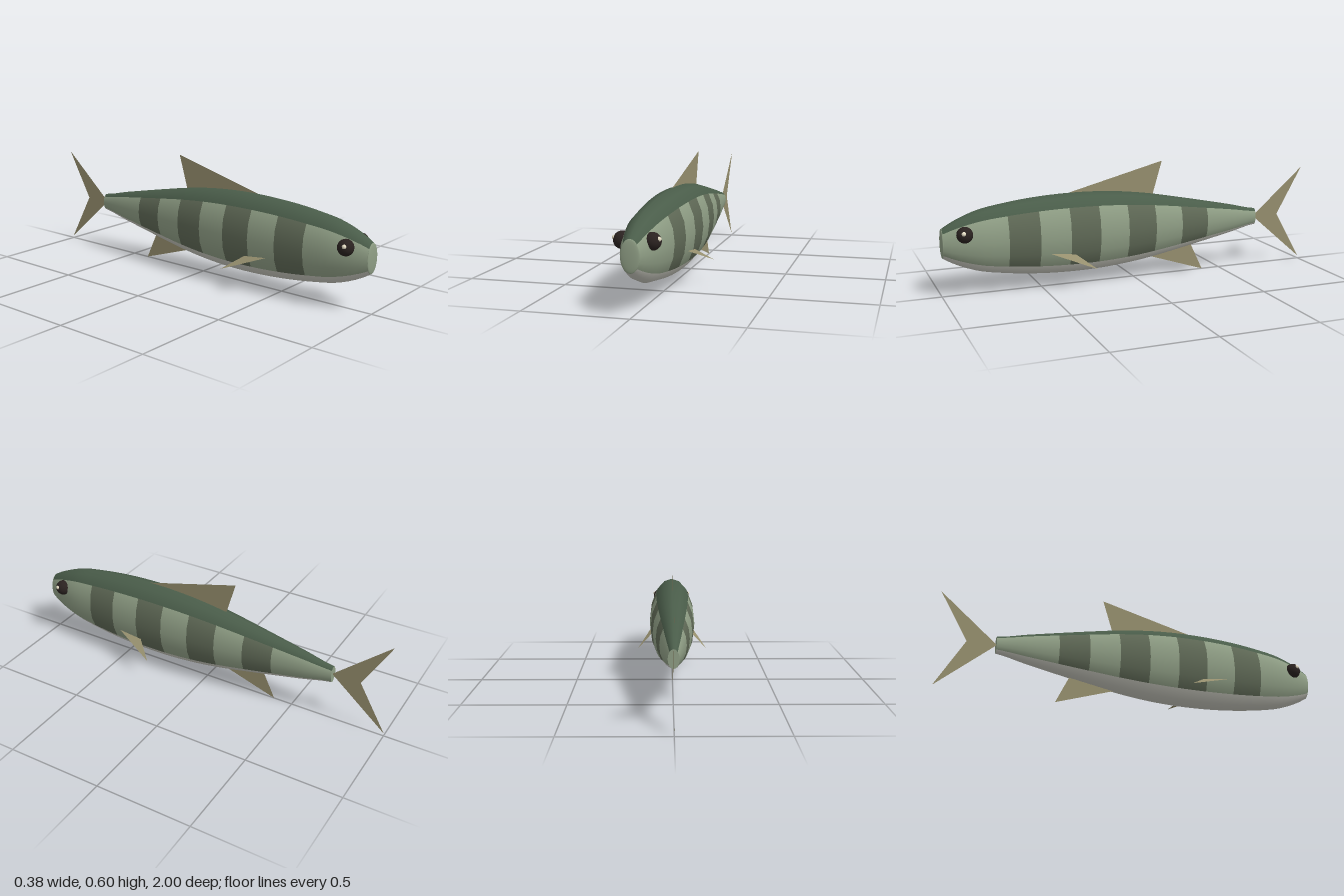
import * as THREE from 'three';

const NOSE = 0.99, TAIL = -0.71, MID = 0.269, ASPECT = 0.595;
const BANDS = 11, STEPS = 4; // lengthwise colour bands, rings per band
// Half height of the body at each band edge (the first value only steers the curve at the nose)
const profile = new THREE.SplineCurve(
  [-0.06, 0.074, 0.147, 0.178, 0.196, 0.204, 0.203, 0.192, 0.171, 0.142, 0.111, 0.079, 0.045]
    .map((r, i) => new THREE.Vector2(i, r)));
const radius = (band) => profile.getPoint(Math.min(1, (band + 1) / (BANDS + 1))).y;
const zAt = (band) => NOSE + (TAIL - NOSE) * band / BANDS;

const material = (color, side = THREE.FrontSide) =>
  new THREE.MeshStandardMaterial({ color, side });
const BACK = material(0x4a5d4a), FLANK = material(0x8f9e85), STRIPE = material(0x5f6956);
const BELLY = material(0xc4c4ba), EYE = material(0x2a2220), GLINT = material(0xe6dec6);
const FIN = material(0x968f6e, THREE.DoubleSide);

function add(group, name, geometry, mat) {
  const mesh = new THREE.Mesh(geometry, mat);
  mesh.name = name;
  group.add(mesh);
  return mesh;
}

// Patch of the 16-sided body skin, from side a0 to a1 (0 = top) and band b0 to b1
function skin(a0, a1, b0, b1) {
  const pos = [], nor = [], idx = [];
  const cols = a1 - a0, rows = (b1 - b0) * STEPS;
  for (let i = 0; i <= rows; i++) {
    const b = b0 + i / STEPS, r = radius(b);
    const lo = Math.max(0, b - 0.05), hi = Math.min(BANDS, b + 0.05);
    const slope = (radius(hi) - radius(lo)) / (zAt(hi) - zAt(lo));
    for (let j = 0; j <= cols; j++) {
      const a = (a0 + j) * Math.PI / 8, s = Math.sin(a), c = Math.cos(a);
      pos.push(r * ASPECT * s, MID + r * c, zAt(b));
      nor.push(...new THREE.Vector3(s / ASPECT, c, -slope).normalize().toArray());
      if (i < rows && j < cols) {
        const p = i * (cols + 1) + j, q = p + cols + 1;
        idx.push(p, p + 1, q, p + 1, q + 1, q);
      }
    }
  }
  const g = new THREE.BufferGeometry();
  g.setAttribute('position', new THREE.Float32BufferAttribute(pos, 3));
  g.setAttribute('normal', new THREE.Float32BufferAttribute(nor, 3));
  g.setIndex(idx);
  return g;
}

// Flat fin in the middle plane, outlined by [z, y] points
function flatFin(points) {
  const shape = new THREE.Shape(points.map(([z, y]) => new THREE.Vector2(-z, y)));
  return new THREE.ShapeGeometry(shape).rotateY(Math.PI / 2);
}

export function createModel() {
  const fish = new THREE.Group();
  fish.name = 'fish';

  // Body: dark back, pale belly, striped flanks
  add(fish, 'back', skin(-2, 2, 0, BANDS), BACK);
  add(fish, 'belly', skin(6, 10, 0, BANDS), BELLY);
  for (const [side, start] of [['left', 2], ['right', 10]]) {
    const edges = [0, 2, 3, 4, 5, 6, 7, 8, 9, BANDS];
    for (let i = 0; i < edges.length - 1; i++) {
      const dark = i % 2 === 1;
      add(fish, side + (dark ? 'Stripe' : 'Flank') + i,
        skin(start, start + 4, edges[i], edges[i + 1]), dark ? STRIPE : FLANK);
    }
  }

  // Blunt snout and the end of the tail stem
  const snout = add(fish, 'snout', new THREE.SphereGeometry(1, 32, 16), FLANK);
  snout.scale.set(0.074 * ASPECT, 0.074, 0.008);
  snout.position.set(0, MID, NOSE);
  const stem = add(fish, 'tailStemEnd', new THREE.CircleGeometry(1, 16).rotateY(Math.PI), FLANK);
  stem.scale.set(0.045 * ASPECT, 0.045, 1);
  stem.position.set(0, MID, TAIL);

  // Fins along the middle plane
  add(fish, 'dorsalFin', flatFin([[0.37, 0.468], [-0.16, 0.607], [-0.105, 0.42]]), FIN);
  add(fish, 'analFin', flatFin([[-0.07, 0.11], [-0.40, 0.003], [-0.325, 0.16]]), FIN);
  add(fish, 'tailFin', flatFin([[-0.705, 0.27], [-1, 0.525], [-0.855, 0.27], [-1, 0.017]]), FIN);

  // Paired eyes and side fins
  for (const [side, s] of [['left', 1], ['right', -1]]) {
    const eye = add(fish, side + 'Eye', new THREE.SphereGeometry(0.04, 24, 16), EYE);
    eye.position.set(s * 0.067, 0.318, 0.89);
    const glint = add(fish, side + 'EyeGlint', new THREE.SphereGeometry(0.011, 12, 8), GLINT);
    glint.position.set(s * 0.099, 0.33, 0.9);

    const fin = new THREE.BufferGeometry();
    fin.setAttribute('position', new THREE.Float32BufferAttribute(
      [s * 0.113, 0.197, 0.48, s * 0.188, 0.115, 0.26, s * 0.112, 0.182, 0.35], 3));
    fin.computeVertexNormals();
    add(fish, side + 'SideFin', fin, FIN);
  }
  return fish;
}
